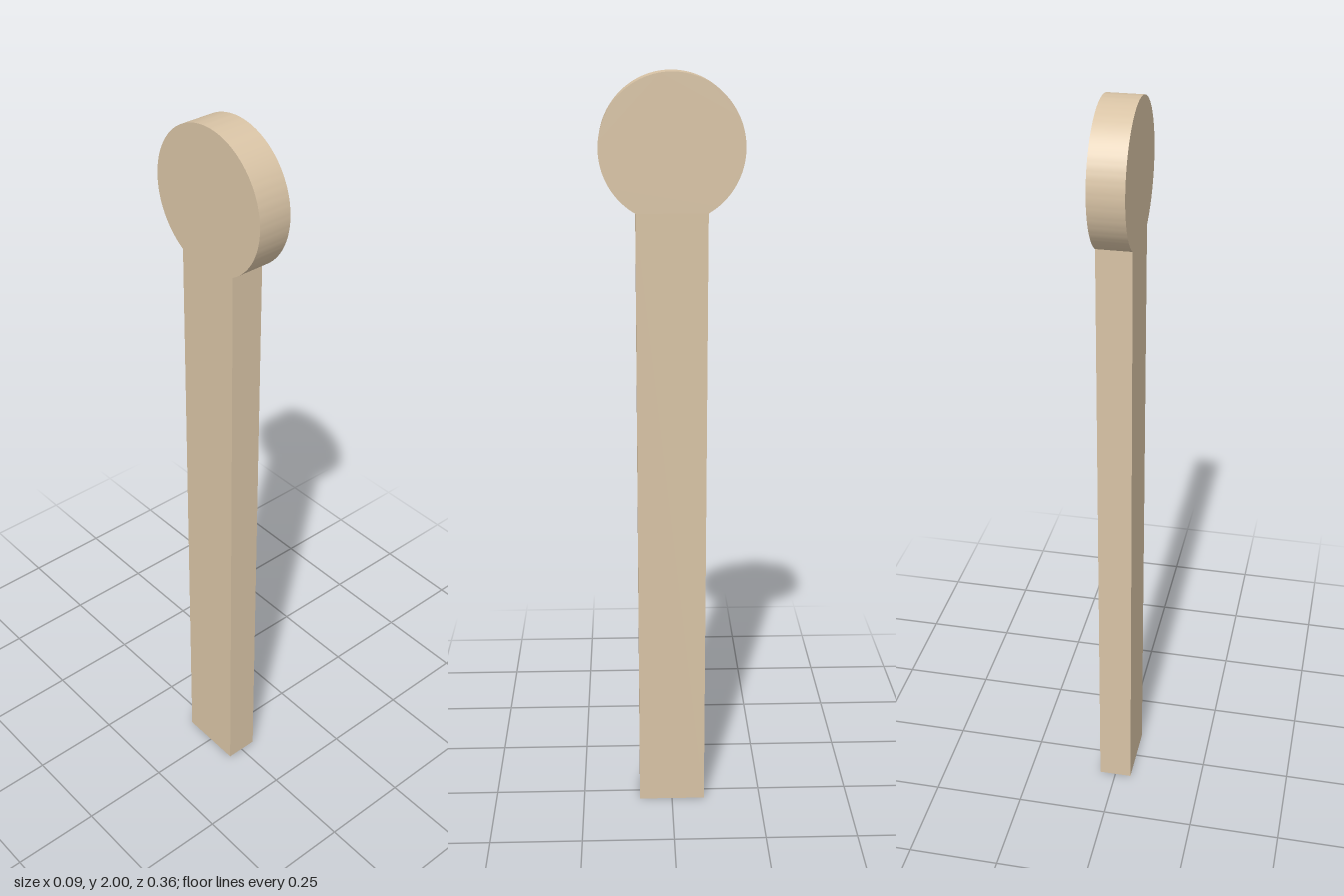
import * as THREE from 'three';
import { toCreasedNormals } from 'three/addons/utils/BufferGeometryUtils.js';

export function createModel() {
  const group = new THREE.Group();
  const wood = new THREE.MeshStandardMaterial({ color: 0xd8c3a5 });

  const radius = 0.182;      // round head
  const half = radius / 2;   // half width of the shaft
  const thickness = 0.091;
  const headY = 2 - radius;

  // Side outline: straight shaft running into a round head
  const outline = new THREE.Shape();
  outline.moveTo(-half, 0);
  outline.lineTo(half, 0);
  outline.absarc(0, headY, radius, -Math.PI / 3, Math.PI * 4 / 3, false);
  outline.closePath();

  // Extrude through the thickness, then turn it to lie along x
  const geometry = new THREE.ExtrudeGeometry(outline, {
    depth: thickness, bevelEnabled: false, curveSegments: 64,
  });
  geometry.translate(0, 0, -thickness / 2);
  geometry.rotateY(Math.PI / 2);

  const paddle = new THREE.Mesh(toCreasedNormals(geometry, Math.PI / 6), wood);
  paddle.name = 'roundHeadedStick';
  group.add(paddle);
  return group;
}
